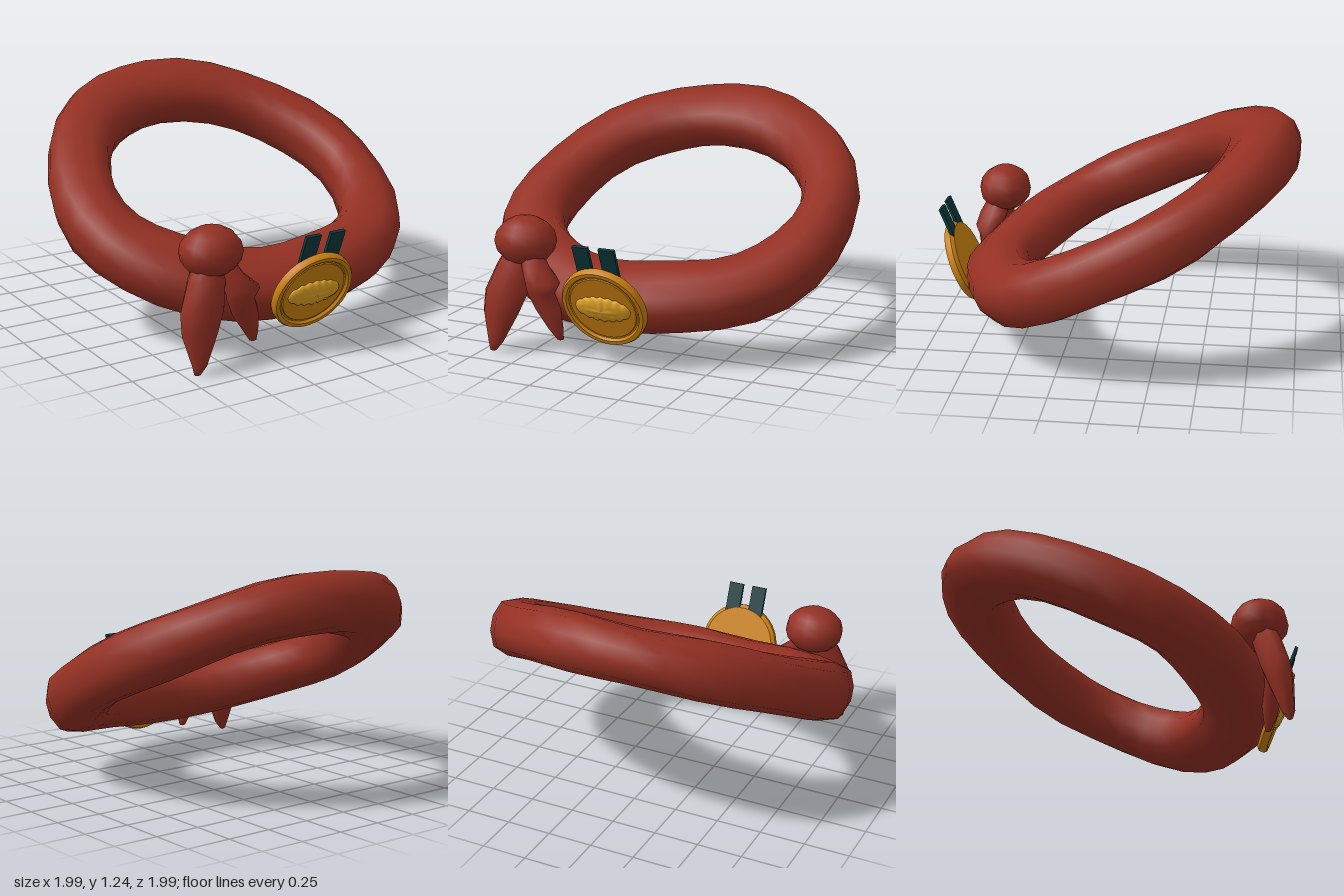
import * as THREE from 'three';
import { toCreasedNormals } from 'three/addons/utils/BufferGeometryUtils.js';

const red = new THREE.MeshStandardMaterial({ color: 0x943023 });
const gold = new THREE.MeshStandardMaterial({ color: 0xcc8210 });
const paleGold = new THREE.MeshStandardMaterial({ color: 0xe2a526 });
const teal = new THREE.MeshStandardMaterial({ color: 0x0c393c });

function part(name, geometry, material) {
  const mesh = new THREE.Mesh(geometry, material);
  mesh.name = name;
  return mesh;
}

// Skin a series of equal rings of points; closed joins the last ring to the first.
function loft(rings, closed) {
  const n = rings[0].length, count = rings.length, index = [];
  for (let i = 0; i < (closed ? count : count - 1); i++) {
    for (let j = 0; j < n; j++) {
      const k = (j + 1) % n, next = (i + 1) % count;
      const a = i * n + j, b = next * n + j, c = i * n + k, d = next * n + k;
      index.push(a, b, c, b, d, c);
    }
  }
  const g = new THREE.BufferGeometry().setFromPoints(rings.flat());
  g.setIndex(index);
  g.computeVertexNormals();
  return g;
}

// Rolled cloth ring, tilted up towards the back.
function clothRing() {
  // x, half width, z of the centre line seen from above
  const stations = [
    [0, 0.172, 0.66], [0.3, 0.167, 0.61], [0.575, 0.168, 0.495], [0.765, 0.16, 0.3],
    [0.845, 0.148, 0], [0.79, 0.155, -0.305], [0.59, 0.163, -0.575], [0.31, 0.17, -0.74],
    [-0.02, 0.175, -0.797], [-0.29, 0.18, -0.755], [-0.57, 0.17, -0.575], [-0.755, 0.168, -0.3],
    [-0.83, 0.168, 0], [-0.77, 0.18, 0.26], [-0.595, 0.185, 0.47], [-0.29, 0.18, 0.62],
  ].map((p) => new THREE.Vector3(...p));
  const path = new THREE.CatmullRomCurve3(stations, true);
  const slope = 0.5, segments = 30, sides = 12, rings = [];
  const up = new THREE.Vector3(0, 1, slope).normalize();
  for (let i = 0; i < segments; i++) {
    const t = i / segments, phase = t * Math.PI * 2;
    const p = path.getPoint(t), tan = path.getTangent(t);
    const out = new THREE.Vector3(-tan.z, 0, tan.x).normalize();
    out.y = -slope * out.z;
    const width = p.y * (1 + 0.012 * Math.sin(phase * 7));
    const thick = 0.152 - 0.005 * Math.cos(phase * 2) + 0.004 * Math.sin(phase * 7);
    const lift = 0.013 * Math.cos(phase * 2) + 0.005 * Math.sin(phase * 5);
    const centre = new THREE.Vector3(p.x, 0.653 - slope * p.z + lift, p.z);
    const ring = [];
    for (let j = 0; j < sides; j++) {
      const a = ((j + 0.5) / sides) * Math.PI * 2, c = Math.cos(a), s = Math.sin(a);
      // Softly squared section with wandering folds
      const round = Math.pow(Math.abs(c) ** 3 + Math.abs(s) ** 3, -1 / 3);
      const fold = 1 + 0.025 * Math.sin(3 * a + phase * 6) * Math.abs(s);
      ring.push(centre.clone()
        .addScaledVector(out, c * round * fold * width)
        .addScaledVector(up, s * round * fold * thick));
    }
    rings.push(ring);
  }
  return loft(rings, true);
}

// Hanging cloth end: sections of [x, y, z, half width, half depth], top to tip.
function tail(sections) {
  const sides = 8;
  return loft(sections.map(([x, y, z, w, d]) => Array.from({ length: sides }, (_, j) => {
    const a = (j / sides) * Math.PI * 2;
    return new THREE.Vector3(x + w * Math.cos(a), y, z - d * Math.sin(a));
  })), false);
}

// Domed emblem with upright ridges that scallop its outline.
function ridgedDome() {
  const g = new THREE.SphereGeometry(1, 72, 12).rotateX(Math.PI / 2);
  const pos = g.attributes.position;
  for (let i = 0; i < pos.count; i++) {
    const x = pos.getX(i), ridge = 1 + 0.08 * Math.cos(x * Math.PI * 7);
    pos.setXYZ(i, x * 0.157, pos.getY(i) * ridge * 0.074, pos.getZ(i) * ridge * 0.03);
  }
  g.computeVertexNormals();
  return g;
}

function createMedallion() {
  const medallion = new THREE.Group();
  medallion.name = 'medallion';

  // Disc with raised rim and shallow inner step
  const profile = [
    [0, -0.028], [0.215, -0.028], [0.235, -0.012], [0.235, 0.014], [0.226, 0.028], [0.205, 0.028],
    [0.196, 0.014], [0.188, 0.014], [0.184, 0.019], [0, 0.019],
  ].map((p) => new THREE.Vector2(...p));
  const disc = new THREE.LatheGeometry(profile, 40).rotateX(Math.PI / 2);
  medallion.add(part('disc', toCreasedNormals(disc, 0.6), gold));

  const emblem = part('emblem', ridgedDome(), paleGold);
  emblem.position.z = 0.02;
  medallion.add(emblem);

  // Two ribbon straps above the disc
  for (const x of [-0.075, 0.072]) {
    const strap = part('strap', new THREE.BoxGeometry(0.088, 0.18, 0.018), teal);
    strap.position.set(x, 0.267, -0.018);
    medallion.add(strap);
  }
  medallion.position.set(-0.015, 0.34, 0.873);
  medallion.rotation.x = 0.385;
  return medallion;
}

export function createModel() {
  const model = new THREE.Group();
  model.name = 'headband';
  model.add(part('clothRing', clothRing(), red));

  // Knot and its two tails
  const knot = part('knot', new THREE.SphereGeometry(1, 12, 8), red);
  knot.scale.set(0.17, 0.135, 0.152);
  knot.position.set(-0.542, 0.605, 0.745);
  model.add(knot);

  model.add(part('rightTail', tail([
    [-0.57, 0.56, 0.76, 0.08, 0.07], [-0.59, 0.47, 0.78, 0.11, 0.08], [-0.63, 0.33, 0.81, 0.128, 0.08],
    [-0.655, 0.22, 0.83, 0.106, 0.065], [-0.675, 0.06, 0.855, 0.043, 0.035], [-0.69, 0.012, 0.86, 0.018, 0.014],
    [-0.69, 0.005, 0.86, 0.001, 0.001],
  ]), red));
  model.add(part('leftTail', tail([
    [-0.49, 0.55, 0.78, 0.06, 0.06], [-0.455, 0.48, 0.8, 0.07, 0.08], [-0.405, 0.41, 0.82, 0.1, 0.08],
    [-0.415, 0.36, 0.82, 0.08, 0.065], [-0.38, 0.27, 0.81, 0.078, 0.055], [-0.34, 0.16, 0.8, 0.043, 0.035],
    [-0.32, 0.1, 0.79, 0.02, 0.015], [-0.32, 0.093, 0.79, 0.001, 0.001],
  ]), red));

  model.add(createMedallion());
  return model;
}
